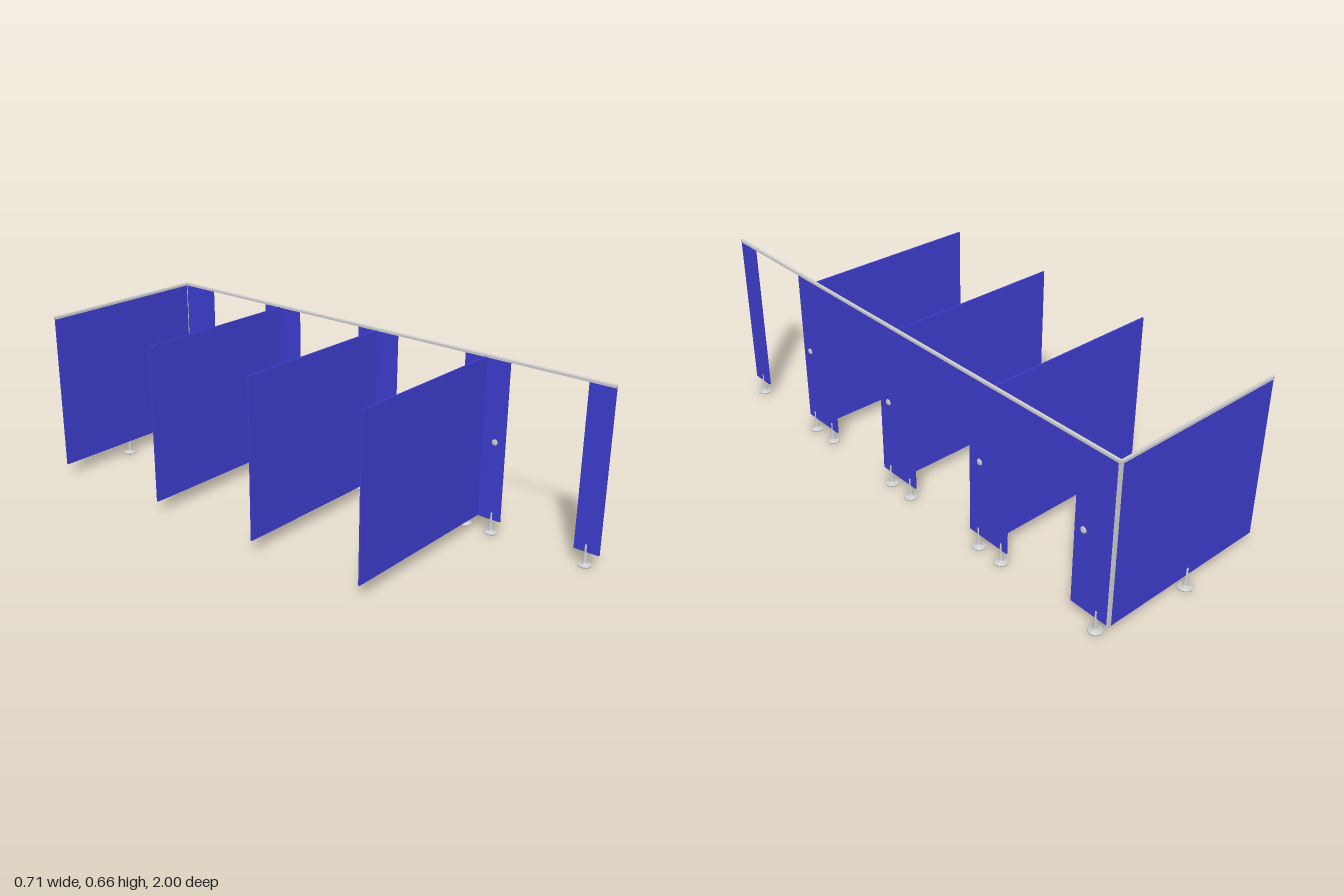
import * as THREE from 'three';

export function createModel() {
  const root = new THREE.Group();
  const grey = new THREE.MeshStandardMaterial({ color: 0xcccccc });
  const blue = new THREE.MeshStandardMaterial({ color: 0x3c3ccc });

  const FRONT_X = 0.331, BACK_Z = -0.973, LEFT_X = -0.355;
  const BOTTOM = 0.052, TOP = 0.653, T = 0.006;

  function add(name, geometry, material, x = 0, y = 0, z = 0) {
    const mesh = new THREE.Mesh(geometry, material);
    mesh.name = name;
    mesh.position.set(x, y, z);
    root.add(mesh);
    return mesh;
  }

  // Upright sheet between two corners in plan
  function panel(name, x0, x1, z0, z1) {
    add(name, new THREE.BoxGeometry(x1 - x0, TOP - BOTTOM, z1 - z0), blue,
      (x0 + x1) / 2, (TOP + BOTTOM) / 2, (z0 + z1) / 2);
  }

  // Door-side pilasters
  const pilasters = [[0.905, 1], [0.43, 0.61], [-0.045, 0.135], [-0.52, -0.34], [-0.968, -0.815]];
  for (const [z0, z1] of pilasters) panel('pilaster', FRONT_X - T / 2, FRONT_X + T / 2, z0, z1);

  // Dividers between cubicles and the end wall
  for (const z of [0.515, 0.04, -0.441]) panel('divider', LEFT_X, FRONT_X - T / 2, z - T / 2, z + T / 2);
  panel('endWall', LEFT_X, FRONT_X - T / 2, BACK_Z - T / 2, BACK_Z + T / 2);

  // Round-topped head rails
  function railGeometry(length) {
    const w = 0.005, s = new THREE.Shape();
    s.moveTo(-w, 0.651);
    s.lineTo(w, 0.651);
    s.lineTo(w, 0.658);
    s.absarc(0, 0.658, w, 0, Math.PI, false);
    s.closePath();
    return new THREE.ExtrudeGeometry(s, { depth: length, bevelEnabled: false, curveSegments: 10 });
  }
  add('frontRail', railGeometry(1.978), grey, FRONT_X, 0, -0.978);
  const endRail = add('endRail', railGeometry(0.693), grey, -0.357, 0, BACK_Z);
  endRail.rotation.y = Math.PI / 2;

  // Corner post joining the end wall and the last pilaster
  add('cornerPost', new THREE.BoxGeometry(0.01, TOP - BOTTOM, 0.01), grey,
    FRONT_X, (TOP + BOTTOM) / 2, BACK_Z);

  // Pedestal feet
  const footProfile = [[0, 0], [0.025, 0], [0.025, 0.004], [0.014, 0.007], [0.0095, 0.009],
    [0.008, 0.015], [0.005, 0.045], [0.0048, 0.08], [0, 0.08]]
    .map(([r, y]) => new THREE.Vector2(r, y));
  const footGeometry = new THREE.LatheGeometry(footProfile, 24);
  for (const z of [0.95, 0.575, 0.464, 0.096, -0.014, -0.383, -0.493, -0.922])
    add('foot', footGeometry, grey, FRONT_X, 0, z);
  add('foot', footGeometry, grey, -0.03, 0, -0.975);

  // Latch knobs, showing on both faces of the pilasters
  const knobProfile = [[0, -0.0078], [0.009, -0.0078], [0.0115, -0.005], [0.0115, 0.005],
    [0.009, 0.0078], [0, 0.0078]].map(([r, y]) => new THREE.Vector2(r, y));
  const knobGeometry = new THREE.LatheGeometry(knobProfile, 20).rotateZ(-Math.PI / 2);
  for (const z of [0.57, 0.09, -0.39, -0.852]) add('latchKnob', knobGeometry, grey, FRONT_X, 0.35, z);

  return root;
}
